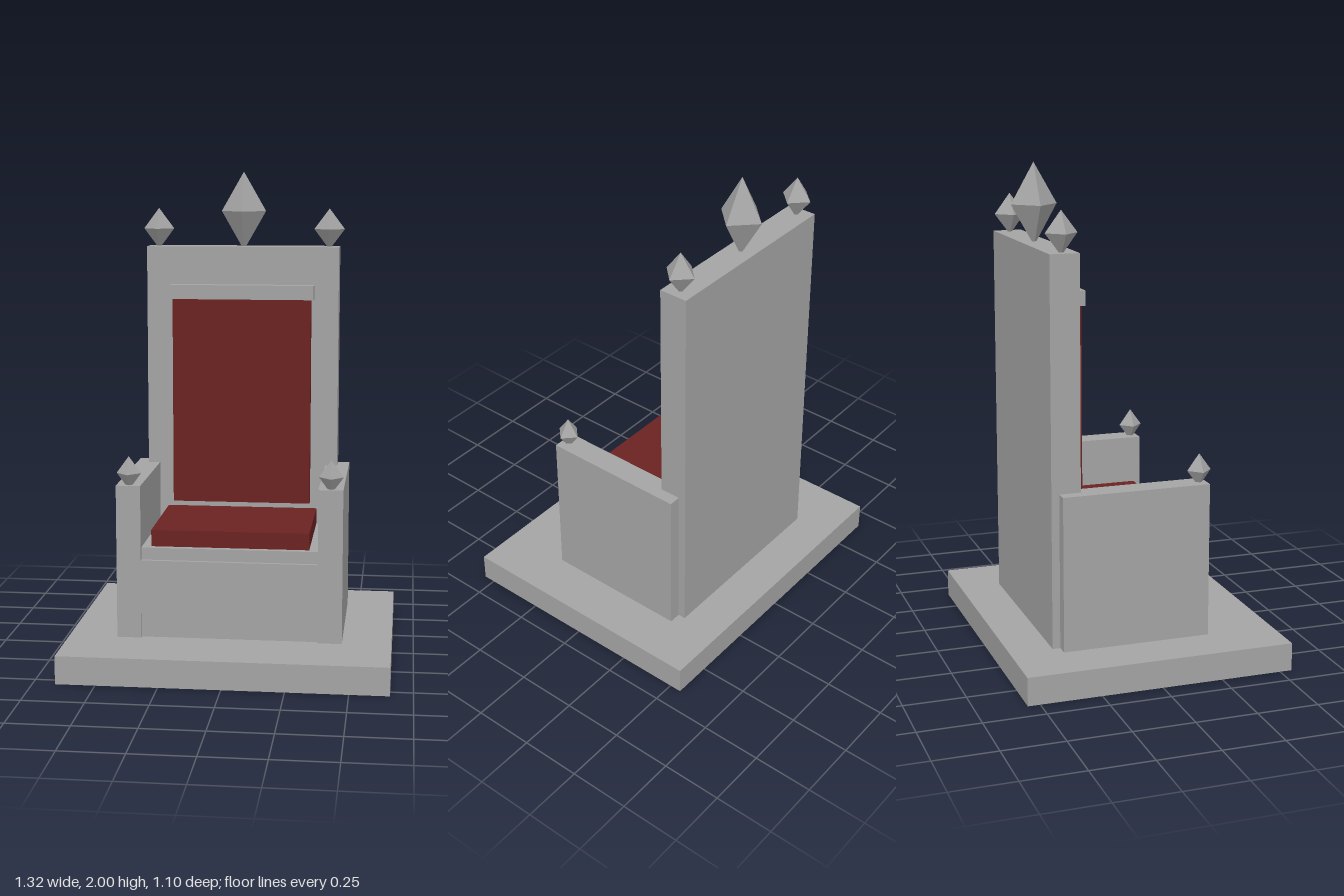
import * as THREE from 'three';

export function createModel() {
  const model = new THREE.Group();
  model.name = 'throne';

  const stone = new THREE.MeshStandardMaterial({ color: 0xa4a4a4, flatShading: true, side: THREE.DoubleSide });
  stone.name = 'grey stone';
  const velvet = new THREE.MeshStandardMaterial({ color: 0x6b2222, flatShading: true });
  velvet.name = 'dark red velvet';

  const add = (name, geometry, material) => {
    const mesh = new THREE.Mesh(geometry, material);
    mesh.name = name;
    model.add(mesh);
    return mesh;
  };

  // Box given by its lower and upper limits on each axis
  const block = (name, material, [x0, x1], [y0, y1], [z0, z1]) => {
    const mesh = add(name, new THREE.BoxGeometry(x1 - x0, y1 - y0, z1 - z0), material);
    mesh.position.set((x0 + x1) / 2, (y0 + y1) / 2, (z0 + z1) / 2);
    return mesh;
  };

  // Four-sided pointed finial, its tip slightly sunk into the stone
  const finial = (name, x, y, z, radius, halfHeight) => {
    const geometry = new THREE.OctahedronGeometry(1, 0).scale(radius, halfHeight, radius);
    add(name, geometry, stone).position.set(x, y, z);
  };

  // Base slab, open underneath: drop the bottom face of the box
  const floor = 0.115;
  const base = block('base', stone, [-0.66, 0.66], [0, floor], [-0.55, 0.55]);
  const faces = Array.from(base.geometry.index.array);
  faces.splice(18, 6);
  base.geometry.setIndex(faces);
  base.geometry.clearGroups();

  // Seat block with a front panel flush with the arms
  block('seatBlock', stone, [-0.36, 0.36], [floor, 0.49], [-0.3, 0.252]);
  block('frontPanel', stone, [-0.36, 0.36], [0.22, 0.44], [0.2, 0.268]);

  // Backrest and the rail over its cushion
  block('backrest', stone, [-0.41, 0.41], [floor, 1.685], [-0.375, -0.255]);
  block('backRail', stone, [-0.307, 0.307], [1.465, 1.525], [-0.26, -0.2]);

  // Cushions
  block('seatCushion', velvet, [-0.323, 0.323], [0.485, 0.558], [-0.257, 0.225]);
  block('backCushion', velvet, [-0.295, 0.295], [0.587, 1.466], [-0.26, -0.212]);

  // Arms and paired finials
  for (const [side, s] of [['left', 1], ['right', -1]]) {
    const xs = [0.36 * s, 0.46 * s].sort((a, b) => a - b);
    block(side + 'Arm', stone, xs, [floor, 0.748], [-0.343, 0.268]);
    finial(side + 'ArmFinial', 0.41 * s, 0.796, 0.24, 0.05, 0.069);
    finial(side + 'BackFinial', 0.366 * s, 1.759, -0.315, 0.065, 0.087);
  }
  finial('centreFinial', 0, 1.834, -0.315, 0.095, 0.166);

  return model;
}
